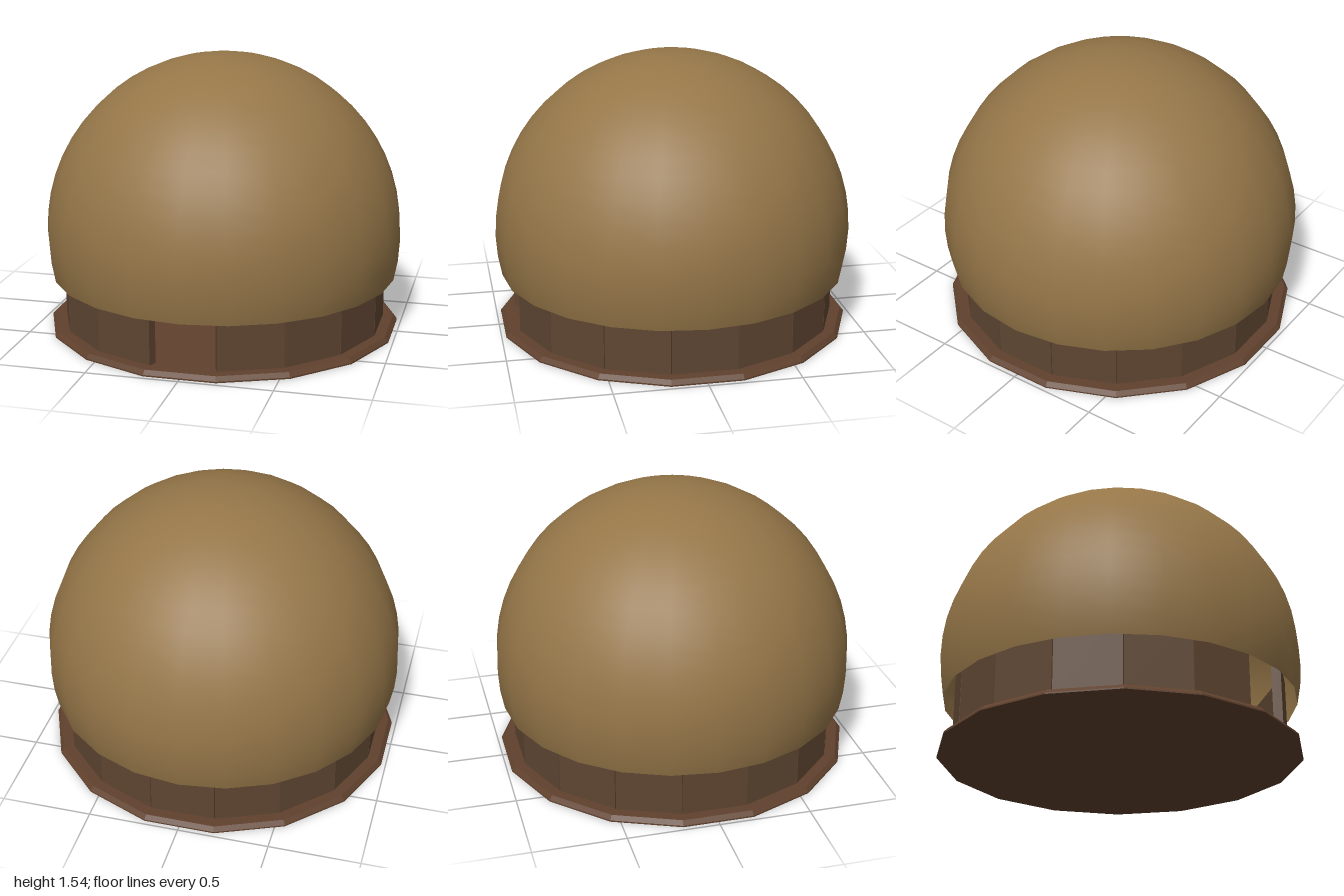
import * as THREE from 'three';

const mat = (name, color, extra = {}) => {
  const m = new THREE.MeshStandardMaterial({ color, ...extra });
  m.name = name;
  return m;
};

export function createModel() {
  const model = new THREE.Group();
  model.name = 'domedHut';
  const domeTan = mat('domeTan', 0x957648, { side: THREE.DoubleSide });
  const wallBrown = mat('wallBrown', 0x5f4632, { flatShading: true });
  const baseBrown = mat('baseBrown', 0x60412d, { flatShading: true });
  const rungTan = mat('rungTan', 0x957648);

  const add = (parent, name, geometry, material, x = 0, y = 0, z = 0) => {
    const mesh = new THREE.Mesh(geometry, material);
    mesh.name = name;
    mesh.position.set(x, y, z);
    parent.add(mesh);
    return mesh;
  };

  // Dome: a sphere cut off below its equator, open underneath
  const cut = Math.acos(-0.24);
  add(model, 'dome', new THREE.SphereGeometry(1, 24, 16, 0, Math.PI * 2, 0, cut), domeTan, 0, 0.54, 0);

  // Sixteen-sided base plate with a bevelled rim
  const sides = 16;
  const corner = 1 / Math.cos(Math.PI / sides);
  const plate = (top, bottom, h) =>
    new THREE.CylinderGeometry(top * corner, bottom * corner, h, sides, 1, false, Math.PI / sides);
  add(model, 'basePlate', plate(0.955, 0.975, 0.022), baseBrown, 0, 0.019, 0);
  add(model, 'baseEdge', plate(0.975, 0.975, 0.008), baseBrown, 0, 0.004, 0);

  // Ring of wall panels, leaving the front one out as the doorway
  const walls = new THREE.Group();
  walls.name = 'walls';
  model.add(walls);
  const panel = new THREE.BoxGeometry(0.352, 0.42, 0.05);
  for (let i = 1; i < sides; i++) {
    const a = (i / sides) * Math.PI * 2;
    const wall = add(walls, 'wallPanel', panel, wallBrown, Math.sin(a) * 0.872, 0.24, Math.cos(a) * 0.872);
    wall.rotation.y = a;
  }

  // Round step inside, carrying the ladder
  add(model, 'step', new THREE.CylinderGeometry(0.15, 0.15, 0.045, 16), baseBrown, 0, 0.0525, 0);
  const ladder = new THREE.Group();
  ladder.name = 'ladder';
  model.add(ladder);
  for (const x of [-0.07, 0.07]) {
    add(ladder, 'ladderRail', new THREE.BoxGeometry(0.014, 0.5, 0.014), wallBrown, x, 0.325, 0);
  }
  const rung = new THREE.CylinderGeometry(0.005, 0.005, 0.14, 8).rotateZ(Math.PI / 2);
  for (let i = 0; i < 6; i++) add(ladder, 'ladderRung', rung, rungTan, 0, 0.115 + i * 0.077, 0);

  return model;
}
